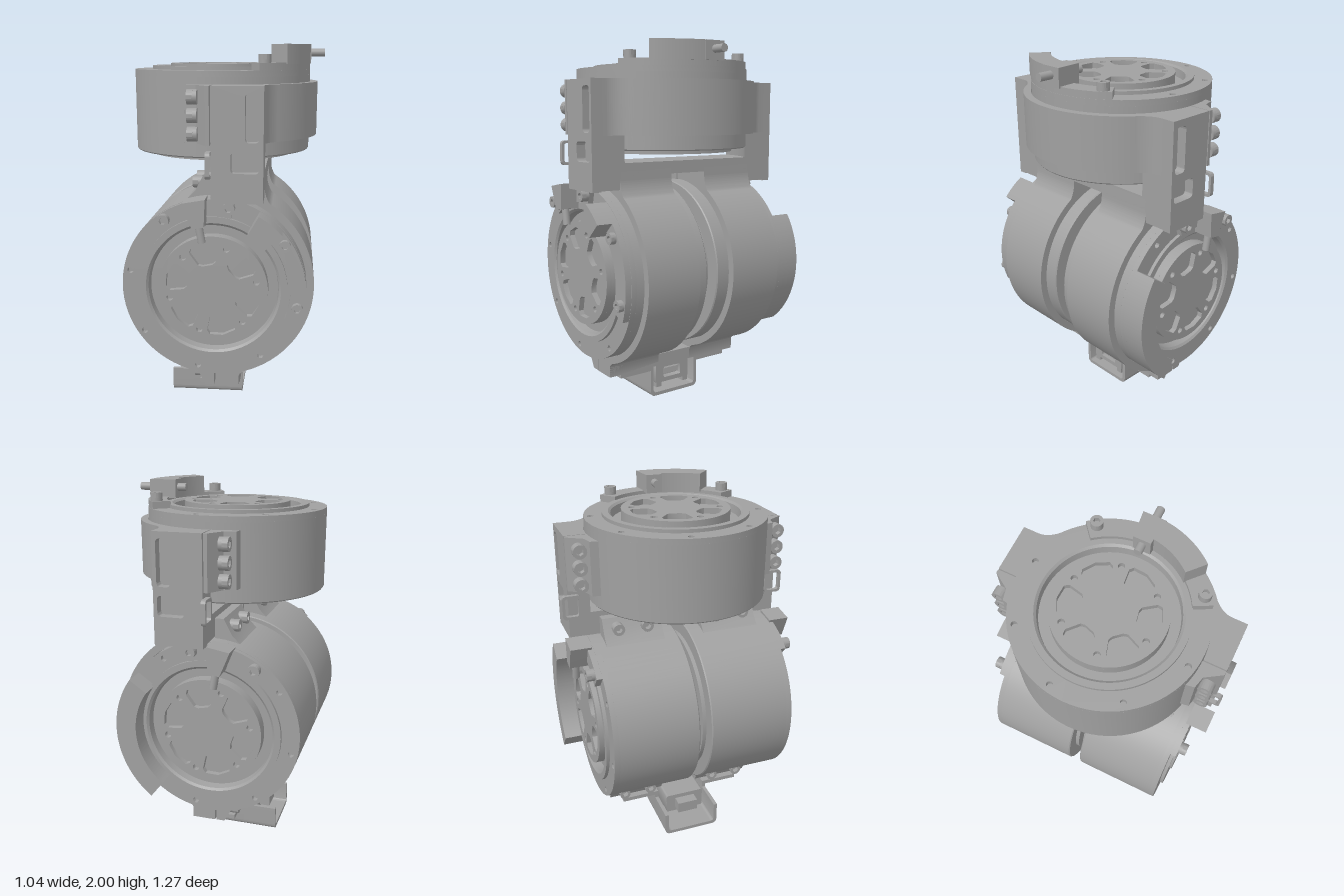
import * as THREE from 'three';
import { toCreasedNormals } from 'three/addons/utils/BufferGeometryUtils.js';

const metal = new THREE.MeshStandardMaterial({ color: 0xa0a0a0 });
metal.name = 'grey metal';
const CX = -0.037, CY = 0.767, R = 0.48, RO = 0.522;
const rad = (d) => d * Math.PI / 180;
const polar = (r, d) => new THREE.Vector2(r * Math.cos(rad(d)), r * Math.sin(rad(d)));

function add(parent, name, geo, x = 0, y = 0, z = 0) {
  const m = new THREE.Mesh(geo, metal);
  m.name = name;
  m.position.set(x, y, z);
  parent.add(m);
  return m;
}
// extrude a shape between two heights along local z
function prism(shape, z0, z1) {
  const g = new THREE.ExtrudeGeometry(shape, { depth: z1 - z0, bevelEnabled: false, curveSegments: 40 });
  g.translate(0, 0, z0);
  return toCreasedNormals(g, 0.5);
}
function box(parent, name, x0, x1, y0, y1, z0, z1) {
  return add(parent, name, new THREE.BoxGeometry(x1 - x0, y1 - y0, z1 - z0), (x0 + x1) / 2, (y0 + y1) / 2, (z0 + z1) / 2);
}
const poly = (pts) => new THREE.Shape(pts.map((p) => new THREE.Vector2(p[0], p[1])));
const circlePath = (x, y, r) => new THREE.Path().absarc(x, y, r, 0, Math.PI * 2, true);

function roundRect(x0, x1, y0, y1, r, Type = THREE.Shape) {
  const s = new Type();
  s.absarc(x1 - r, y1 - r, r, 0, Math.PI / 2);
  s.absarc(x0 + r, y1 - r, r, Math.PI / 2, Math.PI);
  s.absarc(x0 + r, y0 + r, r, Math.PI, Math.PI * 1.5);
  s.absarc(x1 - r, y0 + r, r, Math.PI * 1.5, Math.PI * 2);
  s.closePath();
  return s;
}
function arcShape(r0, r1, a0, a1) {
  const s = new THREE.Shape();
  s.absarc(0, 0, r1, rad(a0), rad(a1), false);
  s.absarc(0, 0, r0, rad(a1), rad(a0), true);
  s.closePath();
  return s;
}
// socket head screw along local +z
function screw(parent, x, y, z, r = 0.03, h = 0.045) {
  const g = new THREE.Group();
  g.name = 'screw';
  const head = new THREE.Shape().absarc(0, 0, r, 0, Math.PI * 2);
  const hex = new THREE.Path();
  hex.setFromPoints([0, 1, 2, 3, 4, 5].map((i) => polar(r * 0.55, -60 * i)));
  head.holes.push(hex);
  add(g, 'screwHead', prism(head, h * 0.4, h));
  add(g, 'screwBase', new THREE.CylinderGeometry(r, r, h * 0.4, 20).rotateX(Math.PI / 2), 0, 0, h * 0.2);
  g.position.set(x, y, z);
  parent.add(g);
  return g;
}
// motor along local +z, with its detailed face at z = len
function motor(name, len) {
  const g = new THREE.Group();
  g.name = name;
  const profile = [[0, -0.021], [0.4, -0.021], [0.4, 0], [0.475, 0], [R, 0.006], [R, len - 0.03], [0.385, len - 0.03],
    [0.385, len + 0.018], [0.352, len + 0.018], [0.34, len + 0.008], [0.335, len - 0.035], [0.285, len - 0.035], [0.285, len], [0, len]];
  const body = new THREE.LatheGeometry(profile.map((p) => new THREE.Vector2(p[0], p[1])), 96).rotateX(Math.PI / 2);
  add(g, 'motorBody', toCreasedNormals(body, 0.4));
  // outer face with bolt holes
  const ring = new THREE.Shape().absarc(0, 0, R, 0, Math.PI * 2);
  ring.holes.push(circlePath(0, 0, 0.385));
  for (let i = 0; i < 8; i++) {
    const p = polar(0.444, 79 + 45 * i);
    ring.holes.push(circlePath(p.x, p.y, 0.016));
  }
  add(g, 'faceRing', prism(ring, len - 0.03, len));
  // hub with six windows and six holes
  const hub = new THREE.Shape().absarc(0, 0, 0.285, 0, Math.PI * 2);
  for (let i = 0; i < 6; i++) {
    const p = polar(0.23, 12 + 60 * i), a = 42 + 60 * i, w = new THREE.Path();
    hub.holes.push(circlePath(p.x, p.y, 0.017));
    w.setFromPoints([[0.15, -18], [0.135, -11], [0.135, 11], [0.15, 18], [0.225, 20], [0.245, 16], [0.252, 0], [0.245, -16], [0.225, -20]]
      .map((q) => polar(q[0], a + q[1])));
    hub.holes.push(w);
  }
  add(g, 'spokedHub', prism(hub, len, len + 0.03));
  return g;
}
// tapered block with a radial pin, on a motor face
function pinBlock(parent, angle, z) {
  const g = new THREE.Group();
  g.name = 'pinBlock';
  add(g, 'taperedBlock', prism(poly([[0.355, -0.03], [0.42, -0.045], [0.49, -0.06], [0.49, 0.06], [0.42, 0.045], [0.355, 0.03]]), 0, 0.115));
  add(g, 'pin', new THREE.CylinderGeometry(0.02, 0.02, 0.15, 20).rotateZ(Math.PI / 2), 0.345, 0, 0.075);
  g.position.z = z;
  g.rotation.z = rad(angle);
  parent.add(g);
}

export function createModel() {
  const root = new THREE.Group();
  root.name = 'doubleJointMotorUnit';

  // upper motor unit, local z is world y
  const upper = new THREE.Group();
  upper.name = 'upperUnit';
  upper.position.x = CX;
  upper.rotation.x = -Math.PI / 2;
  root.add(upper);
  const um = motor('upperMotor', 0.43);
  um.position.z = 1.441;
  upper.add(um);
  add(upper, 'topArcPlate', prism(arcShape(0.38, 0.478, -62, 40), 1.865, 1.908));
  add(upper, 'topStop', prism(arcShape(0.37, 0.483, -42, -3), 1.9, 2.0));
  add(upper, 'topStopBlock', prism(poly([[0.34, -0.045], [0.483, -0.06], [0.483, 0.06], [0.34, 0.045]]), 1.9, 2.0));
  add(upper, 'topPin', new THREE.CylinderGeometry(0.021, 0.021, 0.265, 20).rotateZ(Math.PI / 2), 0.425, 0, 1.957);
  for (const a of [34, -56]) {
    const p = polar(0.444, a);
    screw(upper, p.x, p.y, 1.908, 0.032, 0.042);
  }
  // upper half clamp
  const clamp = new THREE.Shape();
  clamp.moveTo(0, -0.55);
  clamp.lineTo(0.257, -0.55);
  clamp.lineTo(0.257, -0.52);
  clamp.quadraticCurveTo(0.257, -0.47, RO * Math.cos(rad(54)), -RO * Math.sin(rad(54)));
  clamp.absarc(0, 0, RO, rad(-54), rad(54), false);
  clamp.quadraticCurveTo(0.257, 0.47, 0.257, 0.52);
  clamp.lineTo(0.257, 0.55);
  clamp.lineTo(0, 0.55);
  clamp.absarc(0, 0, R + 0.002, Math.PI / 2, -Math.PI / 2, true);
  add(upper, 'upperClamp', prism(clamp, 1.52, 1.805));
  for (const s of [1, -1]) {
    // arm below the clamp, with the inner side following the motor
    const arm = new THREE.Shape();
    const a = Math.acos(0.257 / (R + 0.002));
    arm.moveTo(0, s * 0.55);
    arm.lineTo(0.257, s * 0.55);
    arm.absarc(0, 0, R + 0.002, s * a, s * Math.PI / 2, s < 0);
    add(upper, 'clampArm', prism(arm, 1.37, 1.52));
    // motor lug beside the clamp
    add(upper, 'motorLug', prism(poly([[-0.15, s * 0.44], [-0.14, s * 0.5], [-0.08, s * 0.515], [-0.025, s * 0.6], [-0.006, s * 0.6], [-0.006, s * 0.46]]), 1.52, 1.805));
    for (const h of [1.57, 1.66, 1.75]) {
      const sc = screw(upper, -0.07, s * 0.545, h, 0.036, 0.05);
      sc.rotation.y = -Math.PI / 2;
    }
    // arm cover with two pockets
    const face = poly([[CX, 1.235], [0.22, 1.235], [0.22, 1.805], [CX, 1.805]]);
    face.holes.push(roundRect(0.13, 0.2, 1.535, 1.77, 0.02, THREE.Path), roundRect(0.06, 0.2, 1.385, 1.49, 0.02, THREE.Path));
    add(root, 'armCover', prism(face, 0.549, 0.6), 0, 0, s > 0 ? 0 : -1.149);
    // cable eyelet
    const eye = roundRect(-0.05, 0.05, -0.065, 0.065, 0.02);
    eye.holes.push(roundRect(-0.036, 0.036, -0.051, 0.051, 0.012, THREE.Path));
    add(root, 'cableEyelet', prism(eye, -0.012, 0.012).rotateY(Math.PI / 2), -0.05, 1.425, s * 0.585);
    box(root, 'neckSide', CX, 0.22, 1.24, 1.378, s > 0 ? 0.43 : -0.55, s > 0 ? 0.55 : -0.43);
  }
  box(root, 'neckBridge', CX, 0.22, 1.31, 1.378, -0.44, 0.44);

  // lower half clamp, two bands with flange and neck
  const band = new THREE.Shape();
  band.moveTo(0, -0.587);
  band.lineTo(0.127, -0.587);
  band.lineTo(0.127, -0.53);
  band.quadraticCurveTo(0.13, -0.505, RO * Math.cos(rad(-70)), RO * Math.sin(rad(-70)));
  band.absarc(0, 0, RO, rad(-70), rad(57), false);
  band.quadraticCurveTo(0.257, 0.48, 0.257, 0.53);
  band.lineTo(0.257, 0.611);
  band.lineTo(0, 0.611);
  band.absarc(0, 0, R + 0.002, Math.PI / 2, -Math.PI / 2, true);
  for (const s of [1, -1]) {
    const z0 = s > 0 ? 0.112 : -0.437, z1 = s > 0 ? 0.437 : -0.112;
    add(root, 'lowerClampBand', prism(band, z0, z1), CX, CY, 0);
    for (const v of [1, -1]) {
      add(root, 'lowerMotorLug', prism(poly([[-0.16, v * 0.44], [-0.1, v * 0.5], [-0.055, v * 0.585], [-0.008, v * 0.585], [-0.008, v * 0.46]]), z0, z1), CX, CY, 0);
      for (const z of [0.2, 0.36]) {
        const sc = screw(root, CX - 0.07, CY + v * 0.535, s * z, 0.032, 0.05);
        sc.rotation.y = -Math.PI / 2;
      }
    }
  }
  box(root, 'bottomFlange', CX, 0.09, 0.18, 0.25, -0.437, 0.437);

  // lower motors, back to back
  const faces = { front: 1, back: -1 };
  for (const [side, s] of Object.entries(faces)) {
    const m = motor(side + 'LowerMotor', 0.477);
    m.position.set(CX, CY, s * 0.033);
    if (s < 0) m.rotation.y = Math.PI;
    root.add(m);
    const flip = (a) => (s > 0 ? a : 180 - a);
    const arc = (name, r0, r1, a0, a1, z0, z1) =>
      add(m, name, prism(arcShape(r0, r1, Math.min(flip(a0), flip(a1)), Math.max(flip(a0), flip(a1))), z0, z1));
    pinBlock(m, flip(100), 0.485);
    arc('faceArcPlate', 0.39, 0.478, 76, 130, 0.47, 0.508);
    for (const a of [79, 124]) {
      const p = polar(0.444, flip(a));
      screw(m, p.x, p.y, 0.508, 0.032, 0.042);
    }
    if (s > 0) {
      arc('frontArcPlate', 0.4, 0.478, -21, 60, 0.47, 0.512);
      arc('frontStopBlock', 0.365, 0.478, 42, 60, 0.5, 0.598);
      for (const a of [34, -11]) {
        const p = polar(0.444, a);
        screw(m, p.x, p.y, 0.512, 0.03, 0.03);
      }
    } else {
      arc('backHood', 0.37, 0.48, -52, 35, 0.47, 0.597);
    }
  }

  // bottom connector tray
  const tray = (h) => {
    const s = new THREE.Shape();
    s.moveTo(-0.165, h);
    s.lineTo(-0.165, 0.035);
    s.quadraticCurveTo(-0.165, 0, -0.13, 0);
    s.lineTo(0.13, 0);
    s.quadraticCurveTo(0.165, 0, 0.165, 0.035);
    s.lineTo(0.165, h);
    s.lineTo(0.145, h);
    s.lineTo(0.145, 0.04);
    s.quadraticCurveTo(0.145, 0.02, 0.125, 0.02);
    s.lineTo(-0.125, 0.02);
    s.quadraticCurveTo(-0.145, 0.02, -0.145, 0.04);
    s.lineTo(-0.145, h);
    return s;
  };
  add(root, 'trayOuter', prism(tray(0.138), -0.32, -0.13).rotateY(Math.PI / 2));
  add(root, 'trayInner', prism(tray(0.18), -0.13, 0.09).rotateY(Math.PI / 2));
  for (const s of [1, -1]) {
    box(root, 'trayFlange', -0.13, 0.09, 0.158, 0.181, s > 0 ? 0.15 : -0.365, s > 0 ? 0.365 : -0.15);
    box(root, 'connectorFoot', -0.1, 0.07, 0.04, 0.07, s * 0.095 - 0.018, s * 0.095 + 0.018);
  }
  // connector shell, open towards +x
  const shell = roundRect(-0.115, 0.115, 0.065, 0.18, 0.01);
  shell.holes.push(roundRect(-0.06, 0.06, 0.09, 0.155, 0.008, THREE.Path));
  add(root, 'connectorShell', prism(shell, -0.2, 0.07).rotateY(Math.PI / 2));
  box(root, 'connectorCore', -0.26, 0.03, 0.09, 0.155, -0.06, 0.06);
  for (let i = 0; i < 7; i++) box(root, 'connectorPin', 0.03, 0.06, 0.105, 0.14, -0.049 + i * 0.015, -0.041 + i * 0.015);
  return root;
}
